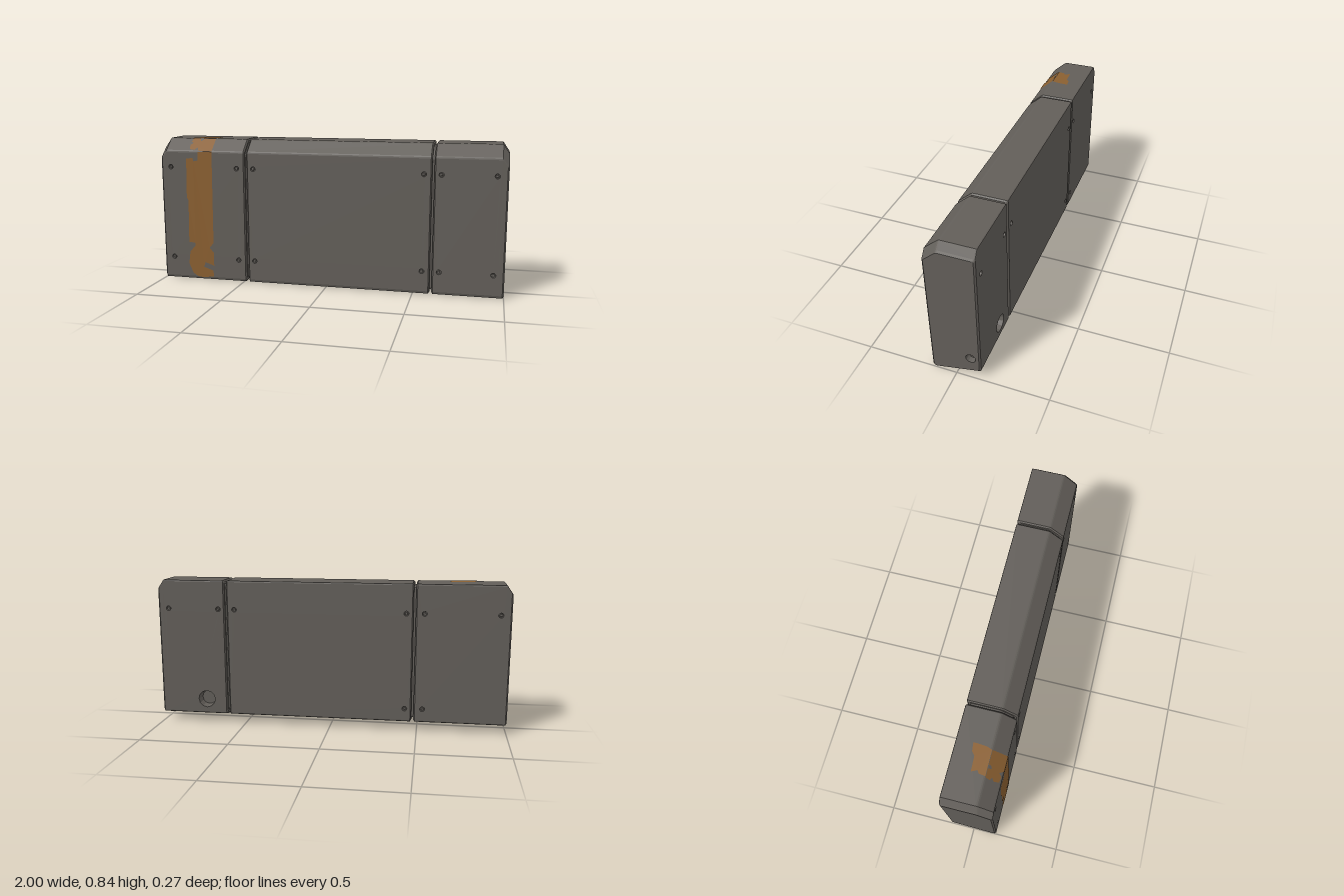
import * as THREE from 'three';
import { mergeGeometries } from 'three/addons/utils/BufferGeometryUtils.js';

const V2 = THREE.Vector2, V3 = THREE.Vector3;

// Five sharp corners of the cross-section as (z, y): top inset t, slope inset c, other insets o
function corners(t = 0, c = 0, o = 0) {
  const k = 0.6687 - c, top = 0.84 - t, front = 0.135 - o;
  return [
    new V2(front, -0.004 + o), new V2(-0.135 + o, 0.055 + o), new V2(-0.135 + o, top),
    new V2((k - 0.753 * top) / 0.658, top), new V2(front, (k - 0.658 * front) / 0.753),
  ];
}

// Cross-section with softened corners, three points each
function profile(t, c, o) {
  const C = corners(t, c, o), out = [];
  C.forEach((p, i) => {
    const r = i === 0 ? 0.02 : 0.008;
    const toward = q => p.clone().add(q.clone().sub(p).setLength(r));
    const a = toward(C[(i + 4) % 5]), b = toward(C[(i + 1) % 5]);
    const mid = a.clone().add(b).multiplyScalar(0.25).addScaledVector(p, 0.5);
    out.push(a, mid, b);
  });
  return out;
}

// Faces: 0 underside, 1 back, 2 top, 3 front slope, 4 front
const SHARP = corners();
function faceFrame(i) {
  const p = SHARP[i], q = SHARP[(i + 1) % 5];
  const d = p.clone().sub(q).normalize();
  const u = new V3(1, 0, 0), v = new V3(0, d.y, d.x);
  const matrix = new THREE.Matrix4().makeBasis(u, v, u.clone().cross(v)).setPosition(0, q.y, q.x);
  return { matrix, along: pt => pt.clone().sub(q).dot(d) };
}

function flat(g) {
  const n = g.index ? g.toNonIndexed() : g;
  n.deleteAttribute('uv');
  n.computeVertexNormals();
  return n;
}

// Flat outline with recessed holes; each hole is { x, y, r, profile }
function panel(points, holes, matrix) {
  const shape = new THREE.Shape(points), parts = [];
  for (const h of holes) {
    const ring = [];
    for (let i = 0; i < 12; i++) {
      const a = i * Math.PI / 6;
      ring.push(new V2(h.x + h.r * Math.sin(a), h.y - h.r * Math.cos(a)));
    }
    shape.holes.push(new THREE.Path(ring));
    const pocket = new THREE.LatheGeometry(h.profile.map(([r, y]) => new V2(r, y)), 12);
    parts.push(flat(pocket.rotateX(Math.PI / 2).translate(h.x, h.y, 0)));
  }
  parts.push(flat(new THREE.ShapeGeometry(shape)));
  return parts.map(g => g.applyMatrix4(matrix));
}

const screw = (x, y) => ({
  x, y, r: 0.014,
  profile: [[0.014, 0], [0.012, -0.012], [0.008, -0.012], [0.006, -0.006], [0, -0.005]],
});
const socket = (x, y, r, d) => ({ x, y, r, profile: [[r, 0], [r * 0.85, -d], [0, -d]] });

// Loft through stations [x, profile]; the span numbered main carries the holes
function section(stations, main, holes, endHoles = []) {
  const parts = [], pos = [];
  for (let s = 0; s < stations.length - 1; s++) {
    const [x0, A] = stations[s], [x1, B] = stations[s + 1];
    for (let i = 0; i < 15; i++) {
      const j = (i + 1) % 15;
      if (s === main && i % 3 === 2) {
        const f = (i - 2) / 3, { matrix, along } = faceFrame(f);
        const lo = along(A[j]), hi = along(A[i]);
        const rect = [new V2(x0, lo), new V2(x1, lo), new V2(x1, hi), new V2(x0, hi)];
        const list = holes.filter(h => h.face === f)
          .map(h => ({ ...h, y: along(new V2(h.z, h.y)) }));
        parts.push(...panel(rect, list, matrix));
      } else {
        const q0 = [x0, A[j].y, A[j].x], q1 = [x1, B[j].y, B[j].x];
        const p1 = [x1, B[i].y, B[i].x], p0 = [x0, A[i].y, A[i].x];
        pos.push(...q0, ...q1, ...p1, ...q0, ...p1, ...p0);
      }
    }
  }
  const strips = new THREE.BufferGeometry();
  strips.setAttribute('position', new THREE.Float32BufferAttribute(pos, 3));
  parts.push(flat(strips));
  // End caps
  for (const side of [-1, 1]) {
    const [x, P] = stations[side < 0 ? 0 : stations.length - 1];
    const m = new THREE.Matrix4().makeBasis(
      new V3(0, 0, -side), new V3(0, 1, 0), new V3(side, 0, 0)).setPosition(x, 0, 0);
    parts.push(...panel(P.map(p => new V2(-side * p.x, p.y)), side > 0 ? endHoles : [], m));
  }
  return mergeGeometries(parts);
}

export function createModel() {
  const model = new THREE.Group();
  model.name = 'armouredPanel';
  const shell = new THREE.MeshStandardMaterial({ color: 0x625e59 });
  shell.name = 'warm grey shell';
  const paint = new THREE.MeshStandardMaterial({ color: 0x8a5f30 });
  paint.name = 'worn orange paint';
  const add = (name, geometry, material) => {
    const mesh = new THREE.Mesh(geometry, material);
    mesh.name = name;
    model.add(mesh);
  };

  const full = profile(0, 0, 0), lip = profile(0.008, 0.008, 0.008);
  const endTip = profile(0.05, 0.036, 0.008), endRim = profile(0.04, 0.028, 0);
  const leftEnd = [[-1, endTip], [-0.992, endRim], [-0.965, full]];
  const rightEnd = [[0.965, full], [0.992, endRim], [1, endTip]];

  // Screws at the corners of each section; some are absent low on the back
  const screws = xs => xs.flatMap(x => [0.675, 0.13].flatMap(y => {
    const list = [{ ...screw(x, y), face: 4, z: 0.135 }];
    if (y > 0.5 || (x < -0.4 && x > -0.6)) list.push({ ...screw(x, y), face: 1, z: -0.135 });
    return list;
  }));

  add('rightSection', section(
    [...leftEnd, [-0.488, full], [-0.481, lip]], 2, screws([-0.94, -0.53])), shell);
  add('middleSection', section(
    [[-0.469, lip], [-0.462, full], [0.587, full], [0.594, lip]], 1,
    [...screws([-0.43, 0.55]), { ...socket(0.52, 0.02, 0.042, 0.035), face: 0, z: 0.04 }]), shell);
  add('leftSection', section(
    [[0.606, lip], [0.613, full], ...rightEnd], 1,
    [...screws([0.645, 0.94]), { ...socket(0.73, 0.14, 0.05, 0.05), face: 1, z: -0.135 }],
    [socket(0.083, 0.138, 0.027, 0.03)]), shell);

  // Recessed joints between the sections
  const joint = profile(0.02, 0.02, 0.02);
  for (const x of [-0.475, 0.6]) {
    add('joint', section([[x - 0.008, joint], [x + 0.008, joint]], -1, []), shell);
  }

  // Worn paint stripe wrapping over the front, slope, top and underside
  const stripe = {
    frontStripe: [4, [[-0.79, 0.02], [-0.82, 0.04], [-0.845, 0.1], [-0.835, 0.17], [-0.8, 0.21],
      [-0.8, 0.225], [-0.84, 0.23], [-0.835, 0.48], [-0.845, 0.5], [-0.84, 0.73], [-0.8, 0.735],
      [-0.795, 0.715], [-0.77, 0.72], [-0.765, 0.77], [-0.68, 0.773], [-0.685, 0.23],
      [-0.71, 0.2], [-0.685, 0.17], [-0.685, 0.09], [-0.74, 0.11], [-0.75, 0.08],
      [-0.69, 0.06], [-0.69, 0.025], [-0.75, 0.015]]],
    slopeStripe: [3, [[-0.76, 0], [-0.775, 0.03], [-0.79, 0.01], [-0.82, 0.015], [-0.825, 0.05],
      [-0.81, 0.065], [-0.825, 0.075], [-0.82, 0.105], [-0.775, 0.105], [-0.77, 0.08],
      [-0.755, 0.09], [-0.755, 0.105], [-0.68, 0.105], [-0.68, 0]]],
    topStripe: [2, [[-0.815, 0], [-0.81, 0.035], [-0.795, 0.045], [-0.81, 0.075], [-0.73, 0.078],
      [-0.71, 0.095], [-0.665, 0.1], [-0.67, 0.03], [-0.68, 0]]],
    undersideStripe: [0, [[-0.83, 0.15], [-0.84, 0.21], [-0.81, 0.255], [-0.7, 0.255],
      [-0.685, 0.2], [-0.7, 0.12], [-0.74, 0.09], [-0.8, 0.1]]],
  };
  for (const [name, [face, points]] of Object.entries(stripe)) {
    const shape = new THREE.Shape(points.map(([x, s]) => new V2(x, s)));
    const g = flat(new THREE.ShapeGeometry(shape)).translate(0, 0, 0.002);
    add(name, g.applyMatrix4(faceFrame(face).matrix), paint);
  }
  return model;
}
